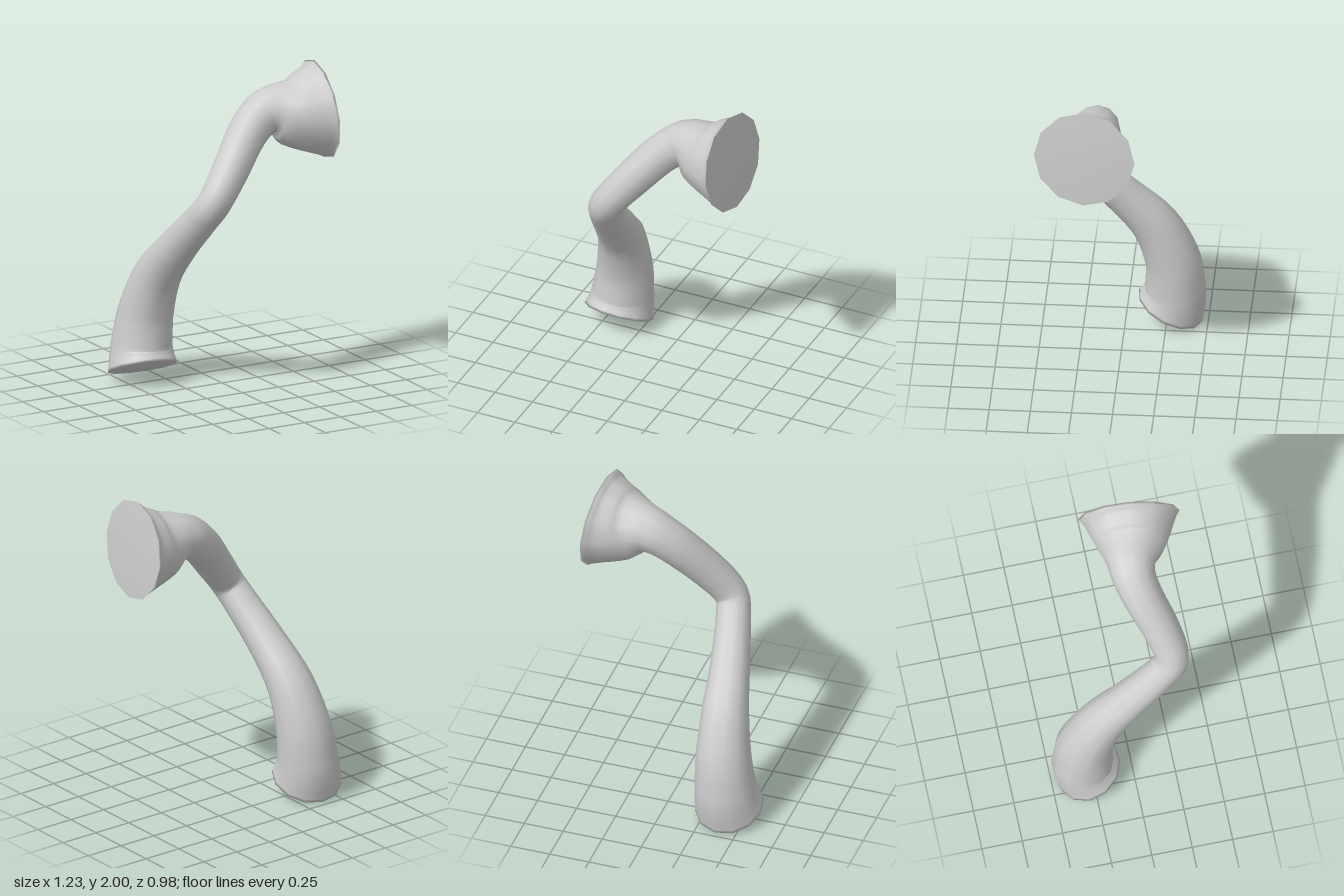
import * as THREE from 'three';

// Centre line and radius of the horn: x, y, z, r, from foot to bell
const STATIONS = [
  [-0.4, 0.09, -0.27, 0.215],
  [-0.393, 0.16, -0.292, 0.2],
  [-0.385, 0.25, -0.3, 0.188],
  [-0.366, 0.45, -0.282, 0.17],
  [-0.342, 0.7, -0.18, 0.145],
  [-0.31, 0.91, 0.0, 0.122],
  [-0.265, 1.11, 0.19, 0.108],
  [-0.22, 1.24, 0.287, 0.105],
  [-0.09, 1.41, 0.25, 0.115],
  [0.075, 1.6, 0.168, 0.125],
  [0.19, 1.69, 0.135, 0.135],
  [0.28, 1.715, 0.138, 0.16],
  [0.4, 1.695, 0.162, 0.225],
  [0.52, 1.69, 0.18, 0.275],
  [0.575, 1.694, 0.185, 0.31],
];
const SIDES = 12;
const RINGS = 56;

// Sweep a twelve-sided ring along the curve, closing both ends with flat discs
function sweptHorn() {
  const path = new THREE.CatmullRomCurve3(
    STATIONS.map(([x, y, z]) => new THREE.Vector3(x, y, z)), false, 'catmullrom', 0.5);
  const size = new THREE.CatmullRomCurve3(
    STATIONS.map((s) => new THREE.Vector3(s[3], 0, 0)), false, 'catmullrom', 0.5);
  const footDir = new THREE.Vector3(0.07, 0.91, -0.41).normalize();
  const bellDir = new THREE.Vector3(1, 0.1, 0.11).normalize();

  const positions = new Array((RINGS + 1) * SIDES * 3);
  const side = new THREE.Vector3(0, 1, 0);
  // Work back from the bell so that one corner of its rim points up
  for (let i = RINGS; i >= 0; i--) {
    const t = i / RINGS;
    const dir = path.getTangent(t);
    dir.lerp(footDir, THREE.MathUtils.clamp(1 - t / 0.12, 0, 1));
    dir.lerp(bellDir, THREE.MathUtils.clamp(1 - (1 - t) / 0.16, 0, 1)).normalize();
    side.addScaledVector(dir, -side.dot(dir)).normalize();
    const other = new THREE.Vector3().crossVectors(dir, side);
    const centre = path.getPoint(t);
    const r = size.getPoint(t).x;
    for (let j = 0; j < SIDES; j++) {
      const a = (j / SIDES) * Math.PI * 2;
      centre.clone()
        .addScaledVector(side, r * Math.cos(a))
        .addScaledVector(other, r * Math.sin(a))
        .toArray(positions, (i * SIDES + j) * 3);
    }
  }

  const index = [];
  for (let i = 0; i < RINGS; i++) {
    for (let j = 0; j < SIDES; j++) {
      const k = (j + 1) % SIDES;
      const a = i * SIDES + j, b = i * SIDES + k;
      index.push(a, b, b + SIDES, a, b + SIDES, a + SIDES);
    }
  }

  // End discs share the rim corners, so the shading rolls over the edge
  const foot = positions.length / 3;
  positions.push(...path.getPoint(0).toArray(), ...path.getPoint(1).toArray());
  const last = RINGS * SIDES;
  for (let j = 0; j < SIDES; j++) {
    const k = (j + 1) % SIDES;
    index.push(foot, k, j, foot + 1, last + j, last + k);
  }

  const geometry = new THREE.BufferGeometry();
  geometry.setAttribute('position', new THREE.Float32BufferAttribute(positions, 3));
  geometry.setIndex(index);
  geometry.computeVertexNormals();
  return geometry;
}

export function createModel() {
  const model = new THREE.Group();
  model.name = 'curvedHorn';
  const horn = new THREE.Mesh(sweptHorn(), new THREE.MeshStandardMaterial({ color: 0xcccccc }));
  horn.name = 'hornBody';
  model.add(horn);
  return model;
}
